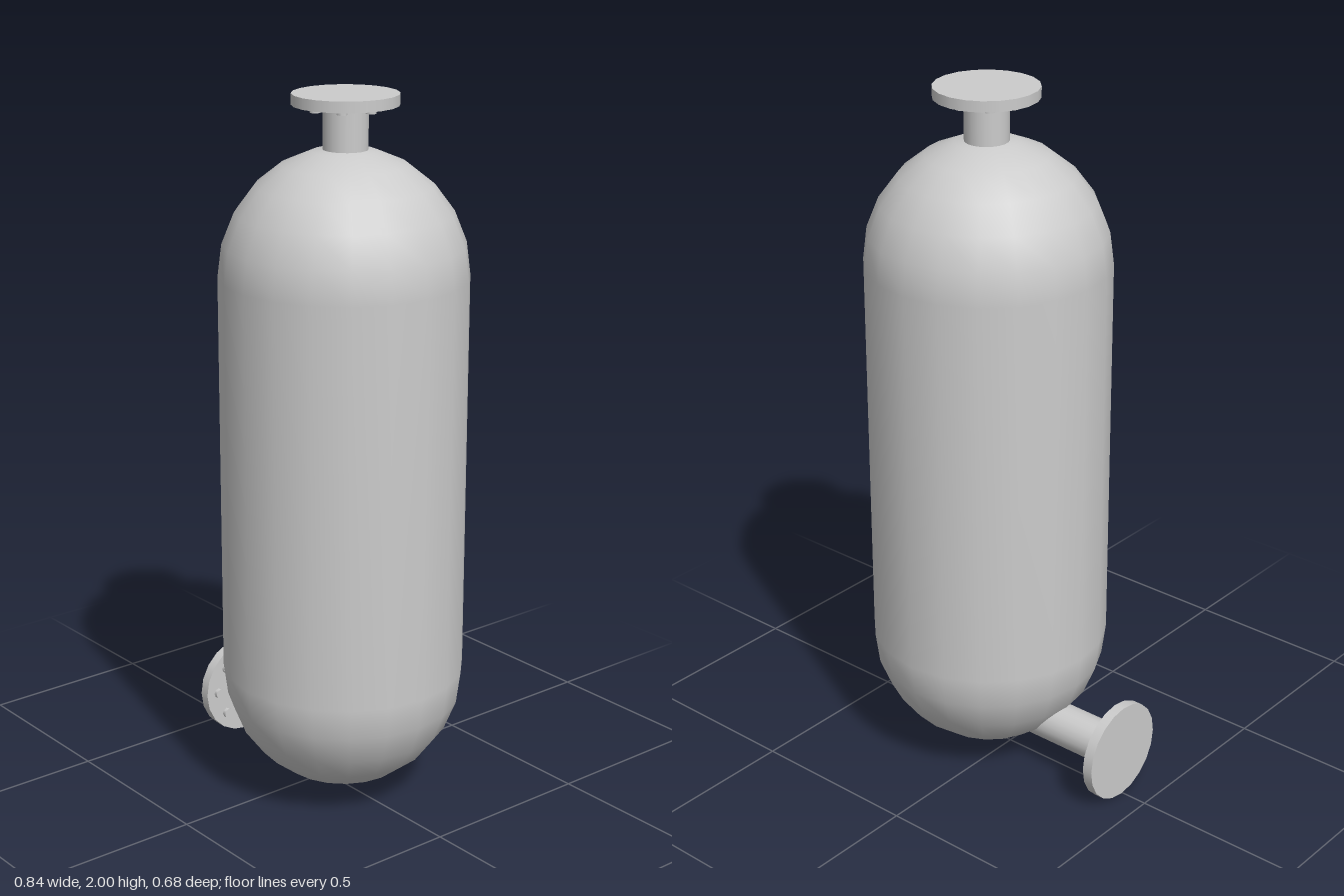
import * as THREE from 'three';

const material = new THREE.MeshStandardMaterial({ color: 0xcccccc });
const SIDES = 20;

function addCylinder(parent, name, radius, height, sides, x, y, z) {
  const mesh = new THREE.Mesh(new THREE.CylinderGeometry(radius, radius, height, sides), material);
  mesh.name = name;
  mesh.position.set(x, y, z);
  parent.add(mesh);
}

// Pipe with a blind flange and bolts; outer face at y = 0, pipe runs down -y
function makeNozzle(name, pipeLength) {
  const nozzle = new THREE.Group();
  nozzle.name = name;
  const flangeThickness = 0.03;
  addCylinder(nozzle, 'flange', 0.144, flangeThickness, SIDES, 0, -flangeThickness / 2, 0);
  addCylinder(nozzle, 'pipe', 0.061, pipeLength, SIDES, 0, -flangeThickness / 2 - pipeLength / 2, 0);
  for (let i = 0; i < 8; i++) {
    const a = (i / 8) * Math.PI * 2;
    addCylinder(nozzle, 'bolt', 0.0145, 0.02, 8, Math.cos(a) * 0.103, -0.031, Math.sin(a) * 0.103);
  }
  return nozzle;
}

// Vessel: straight shell with a rounded dome at each end
function makeVessel() {
  const radius = 0.34, domeHeight = 0.35, bottom = 0.035, top = 1.86, rings = 6;
  const profile = [];
  for (let i = 0; i <= rings; i++) {
    const a = (i / rings) * Math.PI / 2;
    profile.push(new THREE.Vector2(radius * Math.sin(a), bottom + domeHeight * (1 - Math.cos(a))));
  }
  for (let i = rings; i >= 0; i--) {
    const a = (i / rings) * Math.PI / 2;
    profile.push(new THREE.Vector2(radius * Math.sin(a), top - domeHeight * (1 - Math.cos(a))));
  }
  const mesh = new THREE.Mesh(new THREE.LatheGeometry(profile, SIDES), material);
  mesh.name = 'vessel';
  return mesh;
}

export function createModel() {
  const model = new THREE.Group();
  model.name = 'pressureTank';
  const axisX = 0.078;

  const vessel = makeVessel();
  vessel.position.set(axisX, 0, -0.001);
  model.add(vessel);

  // Outlet on top
  const topNozzle = makeNozzle('topNozzle', 0.2);
  topNozzle.position.set(axisX, 2, -0.004);
  model.add(topNozzle);

  // Outlet low on the side, pointing to -x
  const sideNozzle = makeNozzle('sideNozzle', 0.42);
  sideNozzle.rotation.z = Math.PI / 2;
  sideNozzle.position.set(-0.42, 0.145, -0.004);
  model.add(sideNozzle);

  return model;
}
